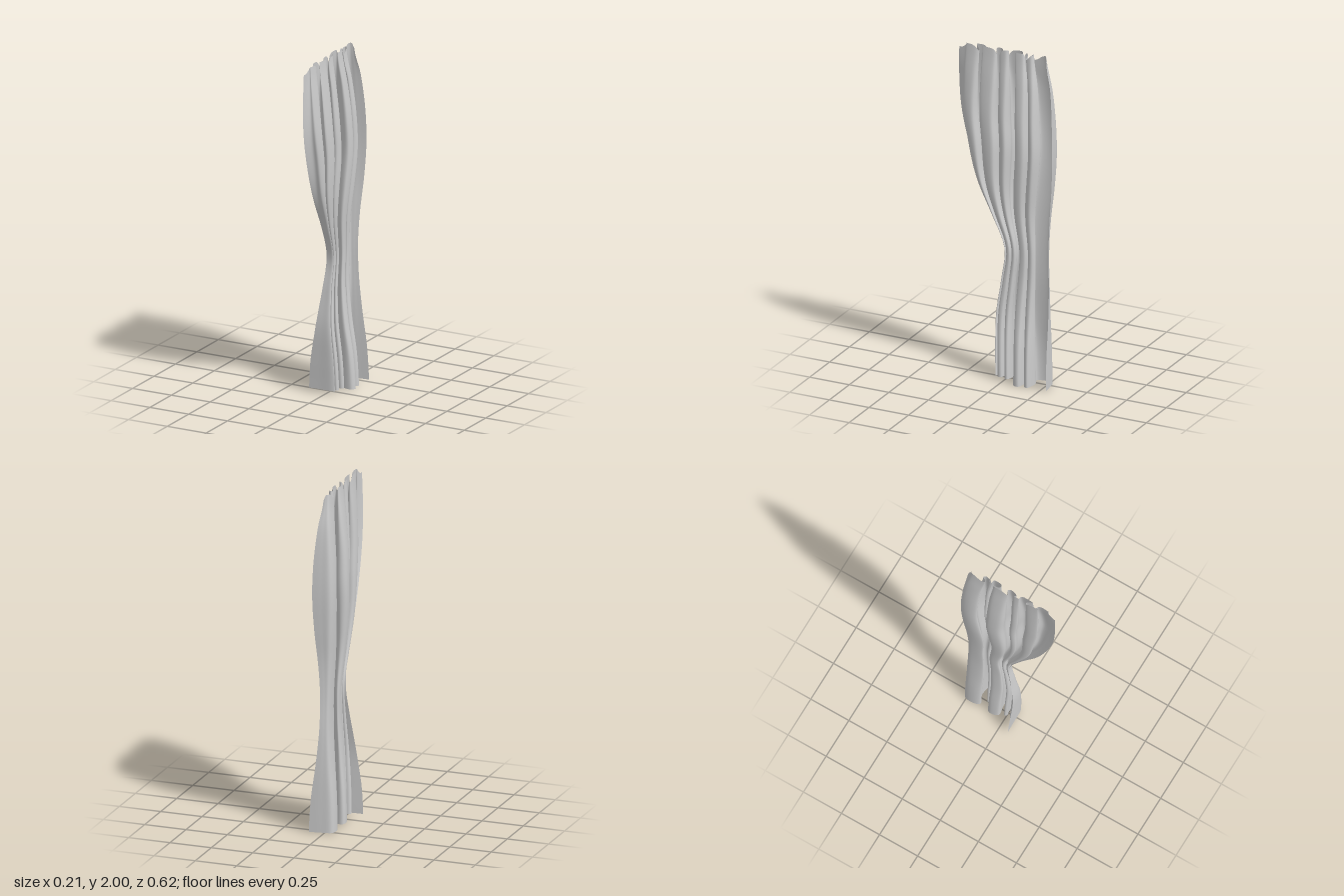
import * as THREE from 'three';

// Smooth interpolation of values spaced evenly from y = 0 to y = 2
function track(values) {
  const curve = new THREE.SplineCurve(values.map((v, i) => new THREE.Vector2(i, v)));
  return (y) => curve.getPoint(THREE.MathUtils.clamp(y / 2, 0, 1)).y;
}

// Front and back edges of the cloth, bunching towards the front, and fold depth, by height
const frontZ = track([0.06, 0.065, 0.065, 0.037, 0.015, 0.095, 0.19, 0.255, 0.298, 0.31, 0.308]);
const backZ = track([-0.285, -0.283, -0.28, -0.275, -0.27, -0.28, -0.3, -0.31, -0.305, -0.287, -0.25]);
const bunching = track([1.75, 1.75, 1.8, 1.9, 1.95, 1.65, 1.25, 1, 0.92, 0.87, 0.82]);
const upperDepth = track([0.4, 0.4, 0.4, 0.4, 0.45, 0.6, 0.85, 1, 0.92, 0.62, 0.25]);
const lowerDepth = track([1, 0.87, 0.57, 0.36, 0.32, 0.3, 0.3, 0.3, 0.3, 0.3, 0.3]);

// Pleat path from front edge to back edge: [fraction along, x high up, x at the hem]
const PLEATS = [
  [0, -0.01, -0.105], [0.05, 0.02, -0.04], [0.06, 0.05, 0.03], [0.14, 0.06, 0.055],
  [0.17, 0.02, 0.01], [0.14, -0.02, -0.035], [0.2, -0.033, -0.04], [0.26, -0.025, -0.03],
  [0.27, 0.01, 0], [0.21, 0.055, 0.055], [0.33, 0.065, 0.06], [0.36, 0.02, 0.01],
  [0.35, -0.02, -0.02], [0.4, -0.03, -0.03], [0.43, 0, 0], [0.4, 0.05, 0.06],
  [0.47, 0.065, 0.07], [0.5, 0.02, 0.02], [0.48, -0.03, -0.03], [0.52, -0.06, -0.05],
  [0.63, -0.065, -0.055], [0.665, -0.03, -0.03], [0.6, 0.03, 0.04], [0.595, 0.07, 0.09],
  [0.68, 0.075, 0.098], [0.71, 0.03, 0.03], [0.7, 0.005, 0.005], [0.725, -0.003, -0.003],
  [0.74, 0.02, 0.02], [0.73, 0.06, 0.075], [0.79, 0.07, 0.09], [0.82, 0.01, 0.02],
  [0.78, -0.035, -0.03], [0.86, -0.052, -0.05], [0.96, -0.04, -0.04],
  [0.985, 0.01, 0.02], [1, 0.06, 0.09],
];

// Cross-section of the cloth at height y
function section(y) {
  const low = 1 - THREE.MathUtils.smoothstep(y, 0.5, 1.05);
  return new THREE.CatmullRomCurve3(PLEATS.map(([t, xu, xl]) => {
    const x = THREE.MathUtils.lerp(xu * upperDepth(y), xl * lowerDepth(y), low);
    const z = THREE.MathUtils.lerp(frontZ(y), backZ(y), Math.pow(t, bunching(y)));
    return new THREE.Vector3(x, y, z);
  }), false, 'catmullrom', 0.5);
}

function drapeGeometry(columns, rows) {
  const positions = [], indices = [];
  for (let r = 0; r <= rows; r++) {
    const y = (2 * r) / rows;
    const curve = section(y);
    for (let c = 0; c <= columns; c++) {
      const u = c / columns;
      const p = curve.getPoint(u);
      // Gathered scallops along the heading, slightly raised hem towards the front
      const scallop = Math.pow(Math.abs(Math.sin(u * Math.PI * 10 + 1.4)), 4);
      const dip = 0.035 * scallop * THREE.MathUtils.smoothstep(y, 1.8, 2);
      const lift = 0.022 * (1 - THREE.MathUtils.smoothstep(u, 0.4, 0.65))
        * (1 - THREE.MathUtils.smoothstep(y, 0, 0.3));
      positions.push(p.x, y - dip + lift, p.z);
      if (r < rows && c < columns) {
        const a = r * (columns + 1) + c, d = a + columns + 1;
        indices.push(a, a + 1, d, a + 1, d + 1, d);
      }
    }
  }
  const geometry = new THREE.BufferGeometry();
  geometry.setAttribute('position', new THREE.Float32BufferAttribute(positions, 3));
  geometry.setIndex(indices);
  geometry.computeVertexNormals();
  return geometry;
}

export function createModel() {
  const model = new THREE.Group();
  model.name = 'curtain';
  const material = new THREE.MeshStandardMaterial({ color: 0xcccccc, side: THREE.DoubleSide });
  // Pleated cloth, drawn in at tie height
  const drape = new THREE.Mesh(drapeGeometry(180, 50), material);
  drape.name = 'pleatedDrape';
  model.add(drape);
  return model;
}
